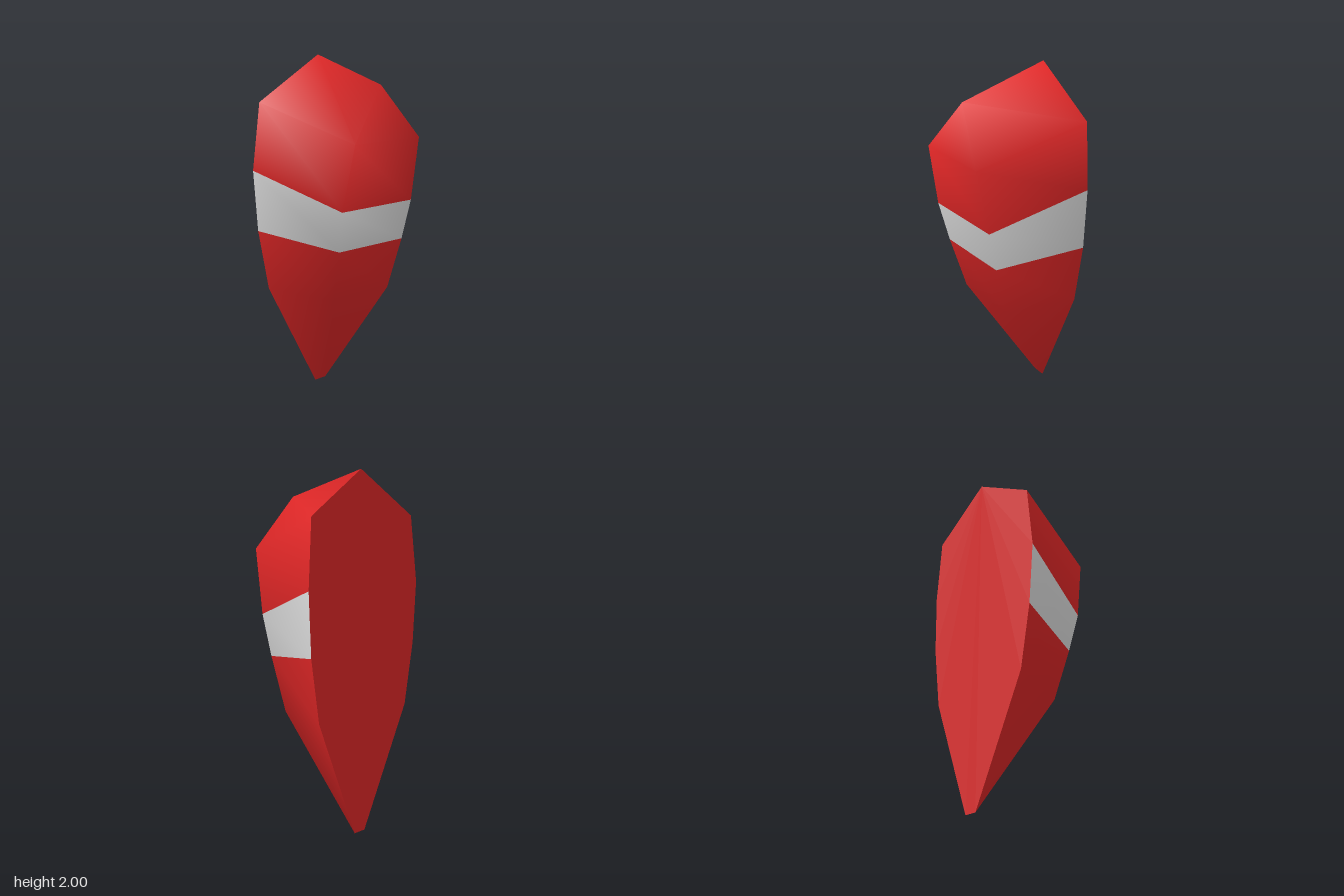
import * as THREE from 'three';
import { mergeVertices } from 'three/addons/utils/BufferGeometryUtils.js';

// Cross-sections from top to bottom:
// [back x, back y, back +z, back -z, outer x, outer y, outer +z, outer -z]
const SECTIONS = [
  [-0.29, 2.0, -0.03, -0.03, 0.235, 1.86, -0.035, -0.035],
  [-0.295, 1.755, 0.38, -0.4, 0.303, 1.57, 0.205, -0.26],
  [-0.3, 1.38, 0.43, -0.425, 0.235, 1.205, 0.235, -0.275],
  [-0.302, 1.03, 0.405, -0.41, 0.18, 0.97, 0.21, -0.26],
  [-0.303, 0.675, 0.34, -0.355, 0.092, 0.66, 0.175, -0.235],
  [-0.305, 0.0, 0.0, -0.08, -0.305, 0.0, 0.0, -0.08],
];
const BAND = 2; // the section where the pale band starts

export function createModel() {
  const red = new THREE.MeshStandardMaterial({ color: 0xdd2626 });
  red.name = 'red';
  const paleGrey = new THREE.MeshStandardMaterial({ color: 0xdcdcdc });
  paleGrey.name = 'paleGrey';

  // Each section runs from the +z back edge, round the outside, to the -z back edge
  const rows = SECTIONS.map(([bx, by, bz0, bz1, ox, oy, oz0, oz1]) => [
    new THREE.Vector3(bx, by, bz0),
    new THREE.Vector3(ox, oy, oz0),
    new THREE.Vector3(ox, oy, oz1),
    new THREE.Vector3(bx, by, bz1),
  ]);

  const addTriangle = (list, a, b, c) => {
    if (!a.equals(b) && !b.equals(c) && !c.equals(a)) list.push(a, b, c);
  };

  // Curved shell, welded so that the normals run smoothly across the band
  const points = [];
  let shell = new THREE.BufferGeometry();
  for (let r = 0; r < rows.length - 1; r++) {
    const start = points.length;
    for (let i = 0; i < 3; i++) {
      const [a, b, c, d] = [rows[r][i], rows[r][i + 1], rows[r + 1][i], rows[r + 1][i + 1]];
      addTriangle(points, a, c, d);
      addTriangle(points, a, d, b);
    }
    shell.addGroup(start, points.length - start, r === BAND ? 1 : 0);
  }
  shell.setFromPoints(points);
  shell = mergeVertices(shell);
  shell.computeVertexNormals();
  const shellMesh = new THREE.Mesh(shell, [red, paleGrey]);
  shellMesh.name = 'bandedShell';

  // Flat back plate, a fan closing the back edge
  const rim = [...rows.map((row) => row[3]), ...rows.map((row) => row[0]).reverse()];
  const backPoints = [];
  for (let i = 1; i < rim.length - 1; i++) addTriangle(backPoints, rim[0], rim[i], rim[i + 1]);
  const back = new THREE.BufferGeometry().setFromPoints(backPoints);
  back.computeVertexNormals();
  const backMesh = new THREE.Mesh(back, red);
  backMesh.name = 'backPlate';

  const group = new THREE.Group();
  group.name = 'bandedGuard';
  group.add(shellMesh, backMesh);
  return group;
}
